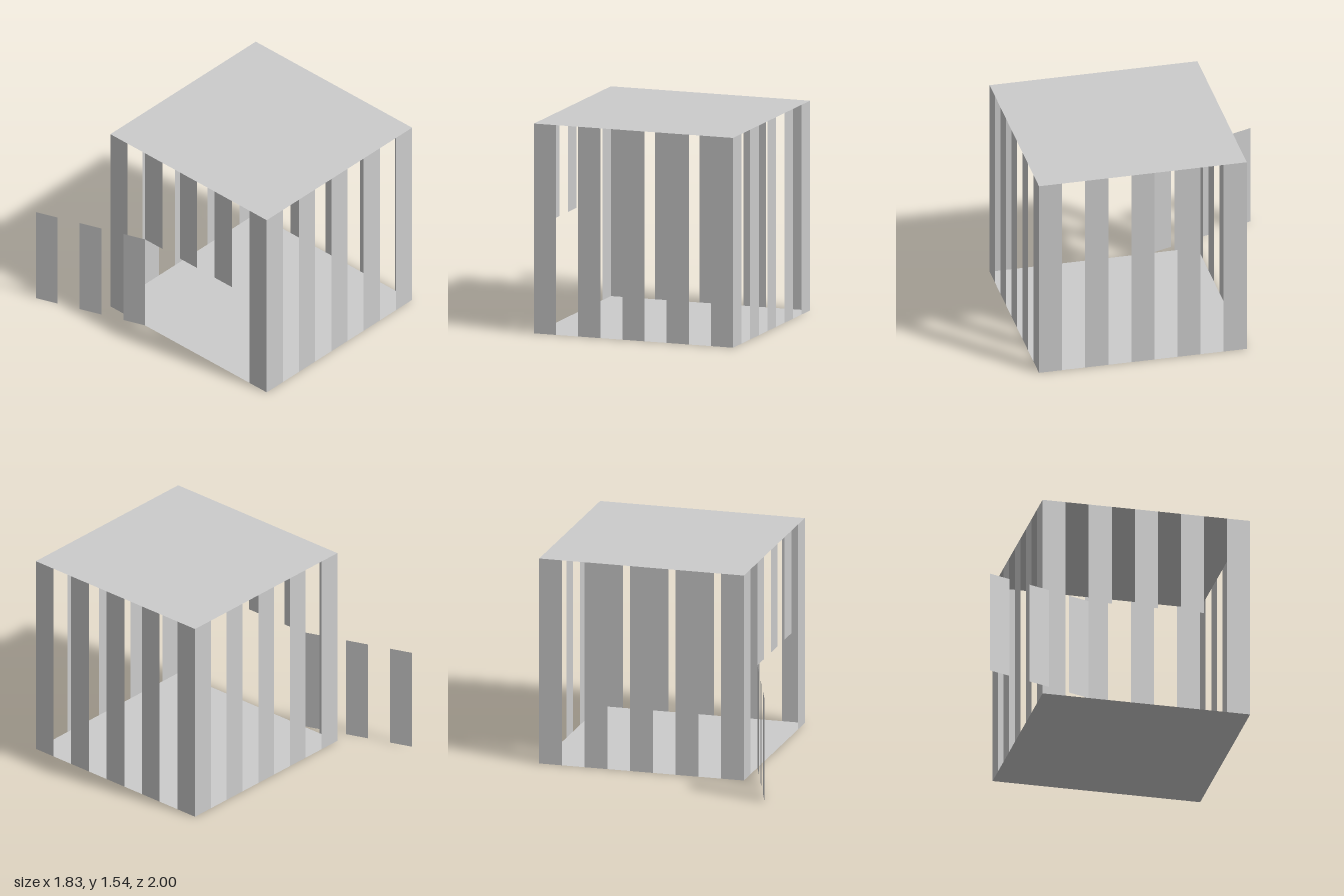
import * as THREE from 'three';

const U = 0.171;              // width of one bar, also of one gap
const SIZE = 9 * U;           // cage edge length
const HALF = SIZE / 2;
const SWING = THREE.MathUtils.degToRad(20); // door opening angle

const X0 = -0.623, X1 = X0 + SIZE; // cage extents
const Z1 = 1, Z0 = Z1 - SIZE;

const material = new THREE.MeshStandardMaterial({ color: 0xcccccc, side: THREE.DoubleSide });

// Row of thin flat bars running along local +x; each bar is [slot, bottom, top]
function barRow(name, bars, x, z, angle) {
  const row = new THREE.Group();
  row.name = name;
  for (const [slot, bottom, top] of bars) {
    const bar = new THREE.Mesh(new THREE.PlaneGeometry(U, top - bottom), material);
    bar.name = 'bar';
    bar.position.set((slot + 0.5) * U, (bottom + top) / 2, 0);
    row.add(bar);
  }
  row.position.set(x, 0, z);
  row.rotation.y = angle;
  return row;
}

// Horizontal square sheet facing up or down
function sheet(name, y, facing) {
  const mesh = new THREE.Mesh(new THREE.PlaneGeometry(SIZE, SIZE), material);
  mesh.name = name;
  mesh.position.set((X0 + X1) / 2, y, (Z0 + Z1) / 2);
  mesh.rotation.x = -facing * Math.PI / 2;
  return mesh;
}

export function createModel() {
  const cage = new THREE.Group();
  cage.name = 'cage';

  // Roof and floor
  cage.add(sheet('roof', SIZE, 1), sheet('floor', 0, -1));

  // Three closed walls of full-height bars
  const full = [0, 2, 4, 6, 8].map((slot) => [slot, 0, SIZE]);
  cage.add(
    barRow('frontWall', full, X0, Z1, 0),
    barRow('sideWall', full, X1, Z1, Math.PI / 2),
    barRow('backWall', full, X1, Z0, Math.PI),
  );

  // Doorway wall: the middle bars stop at half height
  const doorway = [0, 2, 4, 6, 8].map((slot) => [slot, slot % 8 ? HALF : 0, SIZE]);
  cage.add(barRow('doorwayWall', doorway, X0, Z0, -Math.PI / 2));

  // Door swung outwards from the hinge at the back edge of the doorway
  const doorBars = [0, 2, 4].map((slot) => [slot, 0, HALF]);
  cage.add(barRow('door', doorBars, X0, Z0 + 2 * U, Math.PI / 2 + SWING));

  return cage;
}
